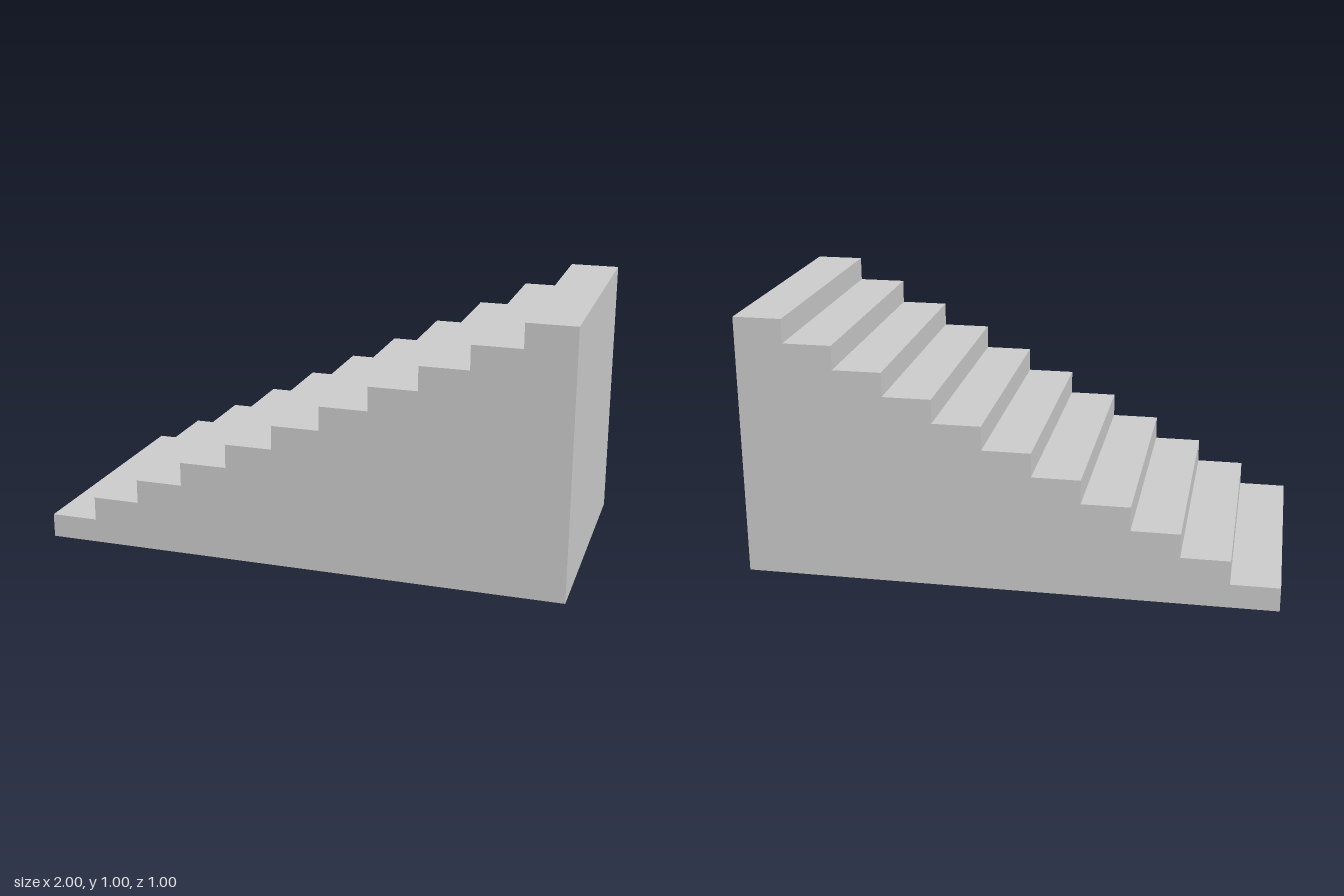
import * as THREE from 'three';

const STEPS = 11;
const LENGTH = 2;
const HEIGHT = 1;
const WIDTH = 1;

// Side outline of the staircase, climbing towards +x
function stairProfile() {
  const run = LENGTH / STEPS;
  const rise = HEIGHT / STEPS;
  const shape = new THREE.Shape();
  shape.moveTo(-LENGTH / 2, 0);
  shape.lineTo(LENGTH / 2, 0);
  shape.lineTo(LENGTH / 2, HEIGHT);
  for (let i = STEPS - 1; i >= 0; i--) {
    const x = -LENGTH / 2 + i * run;
    shape.lineTo(x, (i + 1) * rise); // tread
    if (i > 0) shape.lineTo(x, i * rise); // riser
  }
  shape.closePath();
  return shape;
}

export function createModel() {
  const group = new THREE.Group();
  group.name = 'staircase';

  // Solid flight of steps, extruded across its width
  const geometry = new THREE.ExtrudeGeometry(stairProfile(), { depth: WIDTH, bevelEnabled: false });
  geometry.translate(0, 0, -WIDTH / 2);
  const material = new THREE.MeshStandardMaterial({ color: 0xcccccc, flatShading: true });
  const steps = new THREE.Mesh(geometry, material);
  steps.name = 'steps';
  group.add(steps);

  return group;
}
